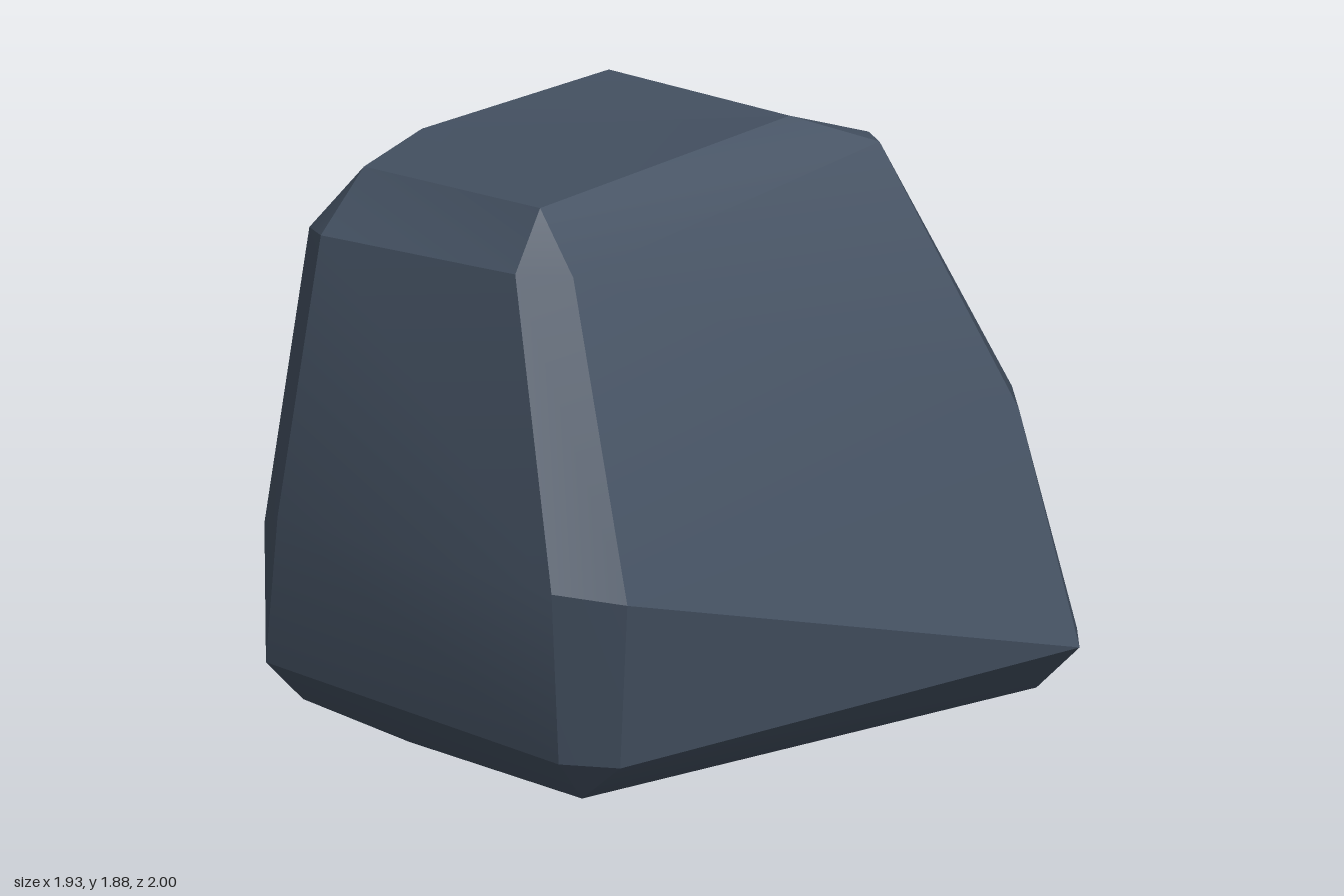
import * as THREE from 'three';
import { toCreasedNormals } from 'three/addons/utils/BufferGeometryUtils.js';

// Cross-sections from bottom to top. Each runs round the five corners:
// front-left (2), front-right (2), back-right (2), back-left (2), left (1).
const RINGS = [
  // underside rim
  [[-0.73, 0.38, 0.5], [-0.73, 0.38, 0.5], [0.24, 0.38, 0.79], [0.24, 0.38, 0.79], [0.84, 0.38, -0.48],
    [0.84, 0.38, -0.48], [-0.43, 0.38, -0.88], [-0.43, 0.38, -0.88], [-0.85, 0, -0.26]],
  // widest edge, dropping at the left
  [[-0.84, 0.51, 0.47], [-0.77, 0.51, 0.62], [0.24, 0.51, 0.91], [0.39, 0.51, 0.86], [0.965, 0.51, -0.48],
    [0.89, 0.51, -0.6], [-0.41, 0.51, -1], [-0.53, 0.51, -0.98], [-0.97, 0.12, -0.27]],
  // waist
  [[-0.78, 0.88, 0.61], [-0.68, 0.95, 0.72], [0.27, 1, 1], [0.45, 0.98, 0.93], [0.75, 1.09, -0.55],
    [0.64, 1.08, -0.71], [-0.28, 1.05, -0.91], [-0.42, 1.05, -0.89], [-0.78, 0.88, 0.06]],
  // shoulder
  [[-0.74, 1.63, 0.45], [-0.645, 1.66, 0.56], [0.03, 1.74, 0.76], [0.17, 1.74, 0.71], [0.42, 1.79, -0.42],
    [0.36, 1.79, -0.47], [-0.25, 1.75, -0.56], [-0.41, 1.73, -0.6], [-0.74, 1.61, 0.01]],
  // crown
  [[-0.61, 1.8, 0.4], [-0.61, 1.8, 0.4], [0.04, 1.885, 0.65], [0.04, 1.885, 0.65], [0.25, 1.88, -0.26],
    [0.25, 1.88, -0.26], [-0.38, 1.83, -0.45], [-0.38, 1.83, -0.45], [-0.645, 1.78, 0.04]],
];

function rockGeometry() {
  const positions = [];
  const same = (p, q) => p.every((v, i) => v === q[i]);
  // Adds a triangle unless two corners coincide
  const tri = (a, b, c) => {
    if (same(a, b) || same(b, c) || same(a, c)) return;
    positions.push(...a, ...b, ...c);
  };

  // Side facets between neighbouring rings
  for (let r = 0; r < RINGS.length - 1; r++) {
    const low = RINGS[r], high = RINGS[r + 1], n = low.length;
    for (let i = 0; i < n; i++) {
      const j = (i + 1) % n;
      tri(low[i], low[j], high[i]);
      tri(low[j], high[j], high[i]);
    }
  }

  // Underside and crown, fanned from the left corner
  const base = RINGS[0], top = RINGS[RINGS.length - 1], last = base.length - 1;
  for (let i = 0; i < last - 1; i++) {
    tri(base[last], base[i + 1], base[i]);
    tri(top[last], top[i], top[i + 1]);
  }

  const geometry = new THREE.BufferGeometry();
  geometry.setAttribute('position', new THREE.Float32BufferAttribute(positions, 3));
  return toCreasedNormals(geometry, 0.42);
}

export function createModel() {
  const slate = new THREE.MeshStandardMaterial({ color: 0x455263 });
  slate.name = 'slate';

  const rock = new THREE.Mesh(rockGeometry(), slate);
  rock.name = 'rock';

  const model = new THREE.Group();
  model.name = 'boulder';
  model.add(rock);
  return model;
}
